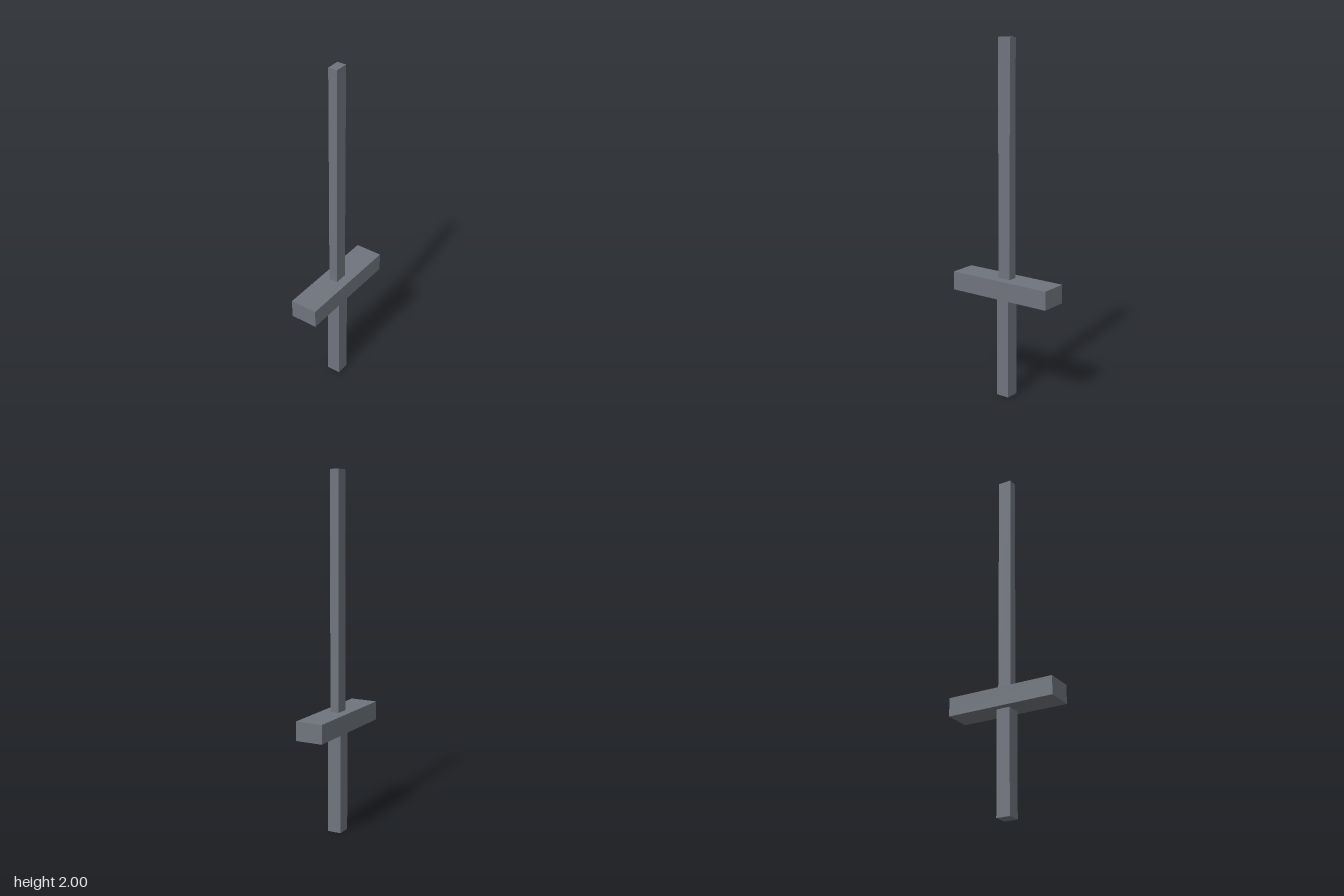
import * as THREE from 'three';

export function createModel() {
  const model = new THREE.Group();
  model.name = 'sword';

  const steel = new THREE.MeshStandardMaterial({ color: 0x70747d });
  steel.name = 'grey steel';

  // Box standing between two heights
  const addBlock = (name, width, depth, bottom, top, z = 0) => {
    const mesh = new THREE.Mesh(new THREE.BoxGeometry(width, top - bottom, depth), steel);
    mesh.name = name;
    mesh.position.set(0, (bottom + top) / 2, z);
    model.add(mesh);
  };

  addBlock('grip', 0.079, 0.079, 0, 0.585);
  addBlock('crossguard', 0.63, 0.158, 0.582, 0.688);
  addBlock('blade', 0.077, 0.052, 0.685, 2, -0.001);

  return model;
}
